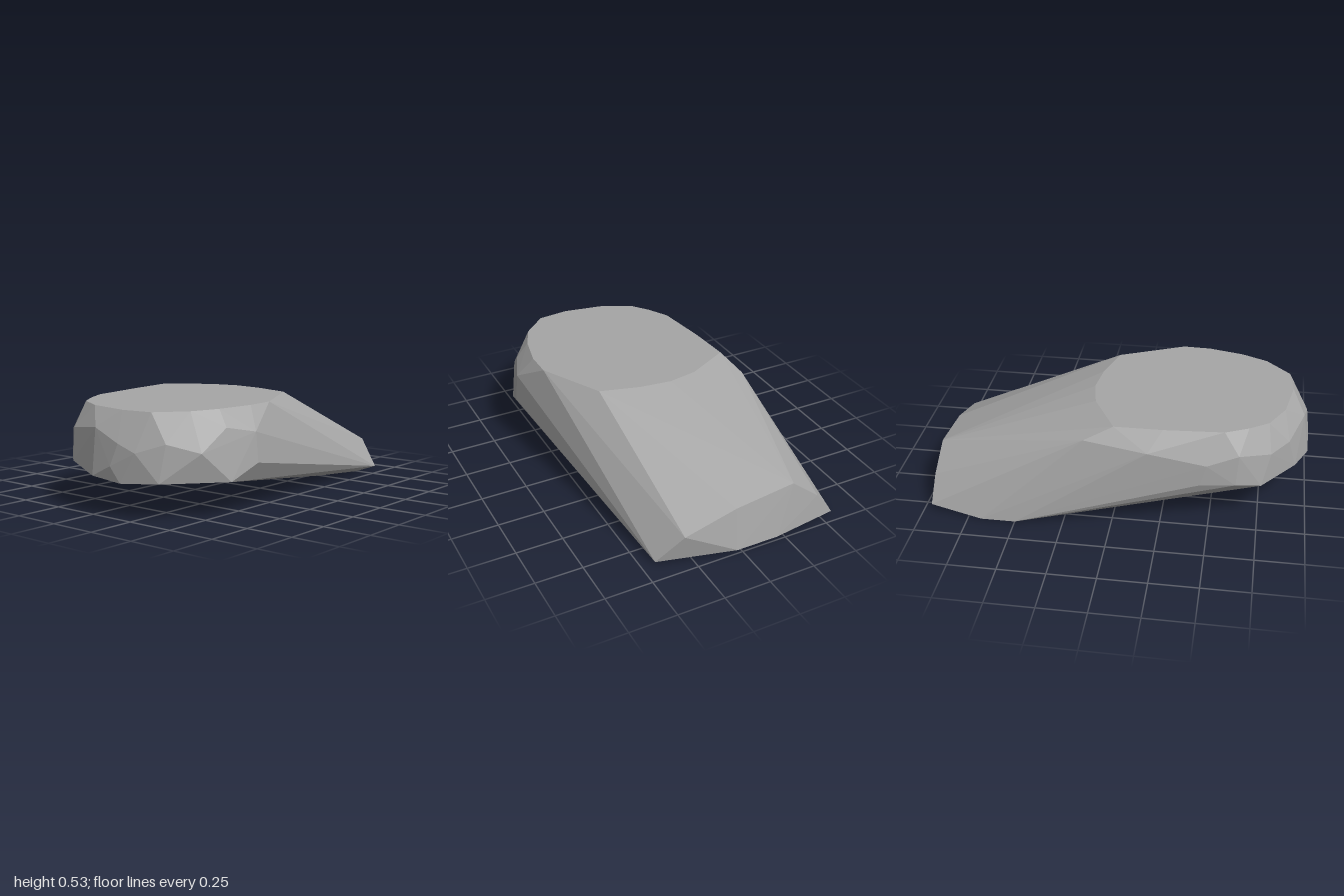
import * as THREE from 'three';
import { ConvexGeometry } from 'three/addons/geometries/ConvexGeometry.js';

// Flat-topped, faceted stone: one convex shell through a few outlines.
export function createModel() {
  const stone = new THREE.MeshStandardMaterial({ color: 0xa6a6a6, flatShading: true });
  stone.name = 'grey stone';

  // outline of the nearly level top, as x, z
  const top = [
    [-0.44, 0], [-0.2, -0.13], [-0.04, -0.16], [0.13, -0.14], [0.34, -0.08],
    [0.42, 0.09], [0.51, 0.27], [0.51, 0.42], [0.47, 0.61], [0.41, 0.75], [0.28, 0.88],
    [0.11, 0.9], [-0.12, 0.86], [-0.27, 0.78], [-0.34, 0.68], [-0.4, 0.56], [-0.43, 0.25],
  ].map(([x, z]) => [x, 0.524 - 0.018 * z, z]);

  // rounded shoulder around the front
  const shoulder = [
    [-0.49, 0.46, -0.15], [-0.51, 0.42, 0.18], [-0.49, 0.36, 0.48], [-0.44, 0.4, 0.64],
    [-0.345, 0.37, 0.8], [-0.24, 0.39, 0.89], [-0.01, 0.42, 0.965], [0.16, 0.36, 0.985],
    [0.25, 0.32, 0.965], [0.375, 0.365, 0.885], [0.5, 0.32, 0.775], [0.53, 0.43, 0.63],
    [0.59, 0.4, 0.48],
  ];

  // lower rim of the front
  const rim = [
    [-0.5, 0.25, 0.45], [-0.46, 0.24, 0.63], [-0.4, 0.21, 0.76], [-0.21, 0.23, 0.93],
    [0, 0.19, 1], [0.12, 0.25, 1], [0.17, 0.17, 0.985], [0.36, 0.18, 0.92],
    [0.57, 0.175, 0.64], [0.605, 0.25, 0.48],
  ];

  // arched back end
  const back = [
    [0.43, 0.015, -0.89], [0.3, 0.16, -0.95], [0.02, 0.24, -0.955], [-0.31, 0.28, -0.95],
    [-0.46, 0.16, -0.957], [-0.555, 0.03, -0.96], [-0.2, 0.02, -1], [0.03, 0.02, -1],
  ];

  // flat footprint
  const foot = [
    [-0.605, 0, -0.68], [-0.605, 0, -0.5], [-0.45, 0, -0.37], [-0.2, 0, -0.3],
    [0.1, 0, -0.33], [0.3, 0, -0.5], [0.39, 0, -0.75],
  ];

  const points = [...top, ...shoulder, ...rim, ...back, ...foot]
    .map((p) => new THREE.Vector3(...p));
  const body = new THREE.Mesh(new ConvexGeometry(points), stone);
  body.name = 'stone';

  const group = new THREE.Group();
  group.name = 'flat rock';
  group.add(body);
  return group;
}
